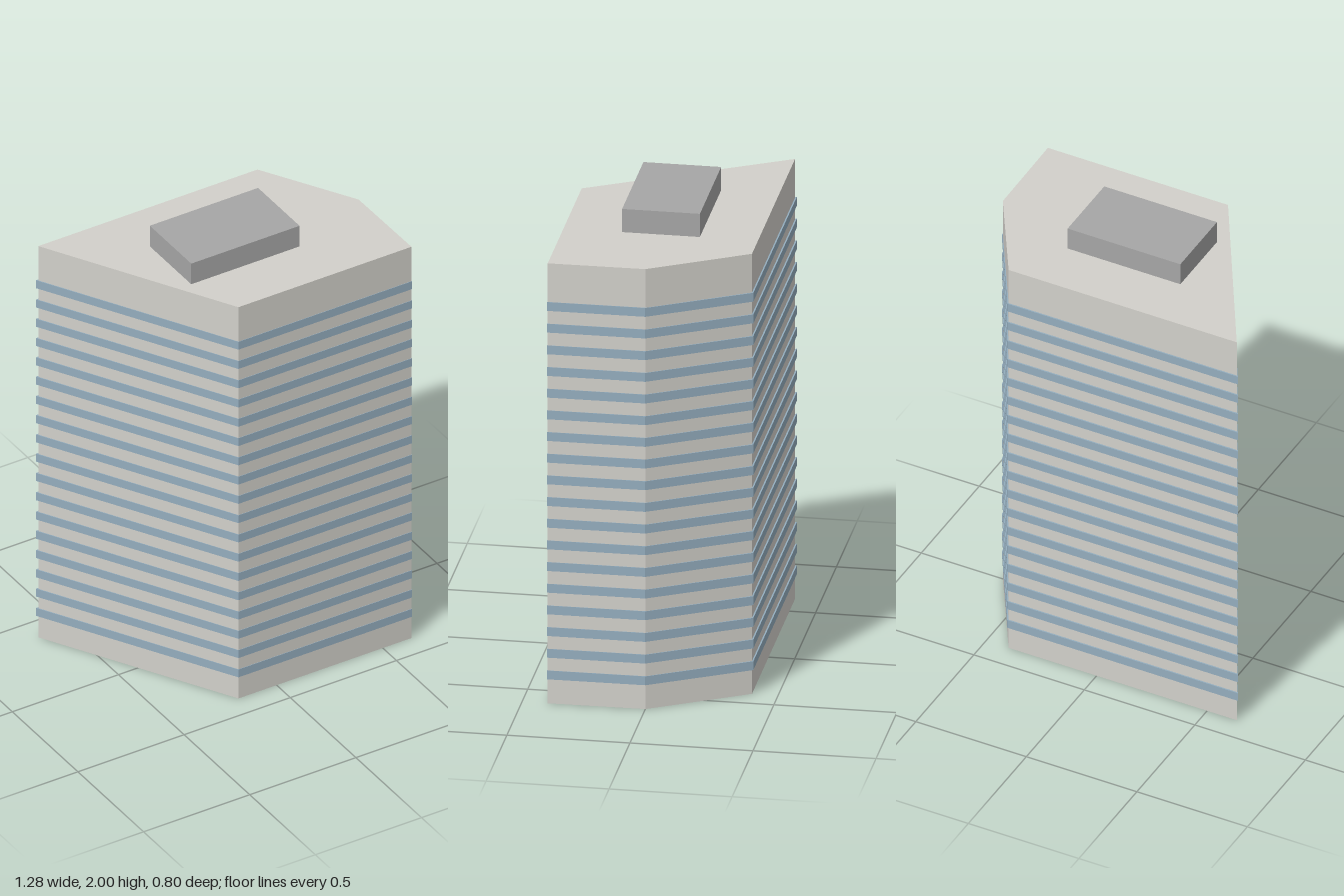
import * as THREE from 'three';

const concrete = new THREE.MeshStandardMaterial({ name: 'paleConcrete', color: 0xd2d0ca });
const glass = new THREE.MeshStandardMaterial({ name: 'blueGlass', color: 0x94adbe });
const grey = new THREE.MeshStandardMaterial({ name: 'roofGrey', color: 0xa6a6a6 });

// Footprints as [x, z] corners, in the same order
const towerPlan = [[-0.634, -0.394], [0.398, -0.394], [0.631, 0], [0.635, 0.396], [-0.18, 0.396]];
const bandPlan = [[-0.642, -0.4], [0.401, -0.4], [0.634, 0], [0.637, 0.398], [-0.181, 0.398]];

// Upright prism standing at height y
function prism(name, plan, y, height, material) {
  const shape = new THREE.Shape(plan.map(([x, z]) => new THREE.Vector2(x, -z)));
  const geometry = new THREE.ExtrudeGeometry(shape, { depth: height, bevelEnabled: false });
  geometry.rotateX(-Math.PI / 2);
  const mesh = new THREE.Mesh(geometry, material);
  mesh.name = name;
  mesh.position.y = y;
  return mesh;
}

export function createModel() {
  const model = new THREE.Group();
  model.name = 'officeTower';

  model.add(prism('towerBody', towerPlan, 0, 1.9, concrete));

  // One ribbon of windows around each floor
  const windows = new THREE.Group();
  windows.name = 'windowBands';
  for (let floor = 0; floor < 18; floor++) {
    windows.add(prism(`windowBand${floor + 1}`, bandPlan, 0.104 + floor * 0.0936, 0.038, glass));
  }
  model.add(windows);

  // Plant room on the roof
  const plantRoom = new THREE.Mesh(new THREE.BoxGeometry(0.51, 0.1, 0.316), grey);
  plantRoom.name = 'roofPlantRoom';
  plantRoom.position.set(0, 1.95, 0);
  model.add(plantRoom);

  return model;
}
